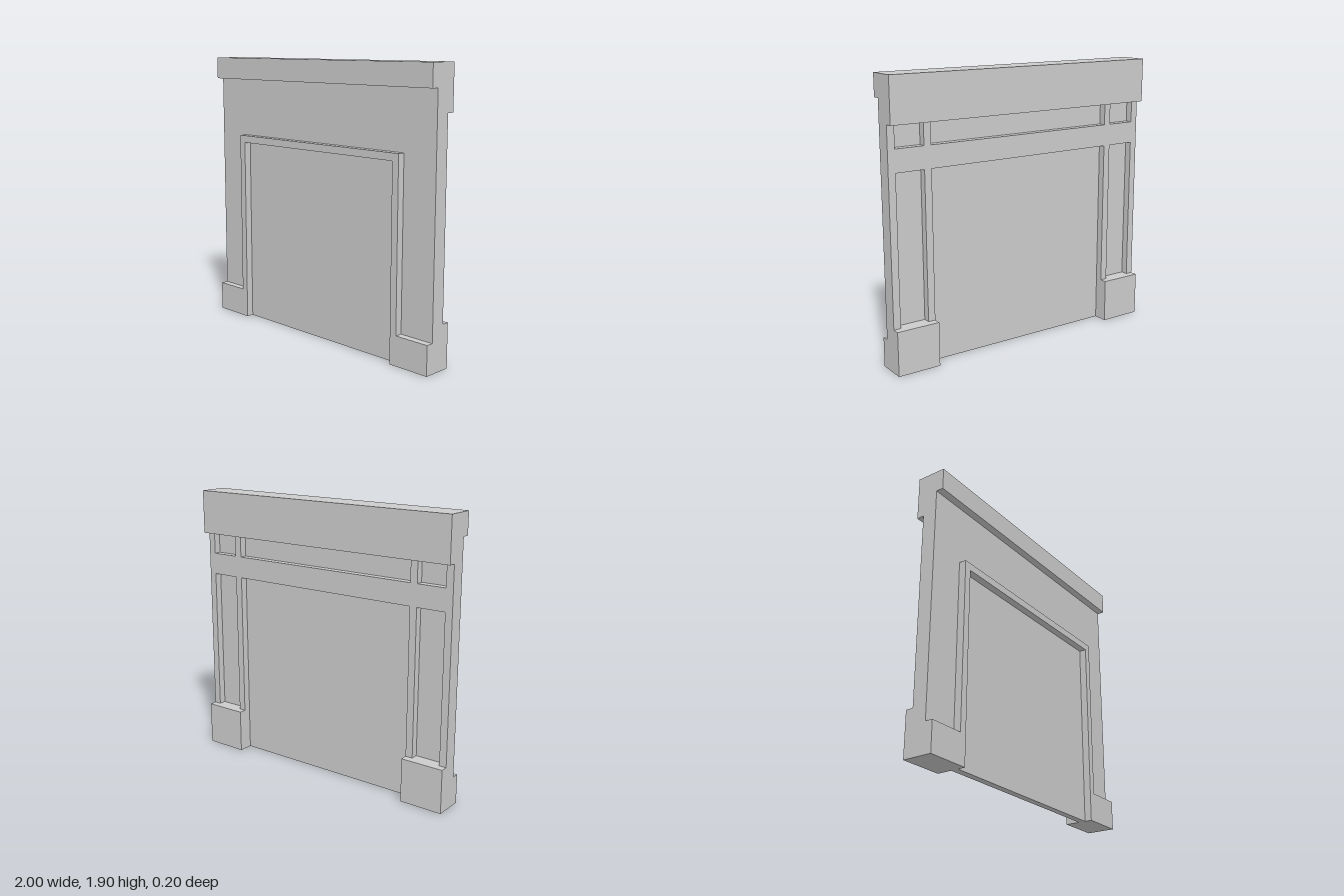
import * as THREE from 'three';

const material = new THREE.MeshStandardMaterial({ color: 0xcccccc, flatShading: true });

function add(parent, name, geometry) {
  const mesh = new THREE.Mesh(geometry, material);
  mesh.name = name;
  parent.add(mesh);
}

function polygon(points) {
  return new THREE.Shape(points.map(([a, b]) => new THREE.Vector2(a, b)));
}

// Outline in (x, y), extruded from z0 to z1
function slab(points, z0, z1) {
  const g = new THREE.ExtrudeGeometry(polygon(points), { depth: z1 - z0, bevelEnabled: false });
  return g.translate(0, 0, z0);
}

// Profile in (z, y), extruded from x0 to x1
function moulding(points, x0, x1) {
  const g = new THREE.ExtrudeGeometry(polygon(points), { depth: x1 - x0, bevelEnabled: false });
  return g.rotateY(-Math.PI / 2).translate(x1, 0, 0);
}

// Box given by its limits
function block(x0, x1, y0, y1, z0, z1) {
  return new THREE.BoxGeometry(x1 - x0, y1 - y0, z1 - z0)
    .translate((x0 + x1) / 2, (y0 + y1) / 2, (z0 + z1) / 2);
}

export function createModel() {
  const model = new THREE.Group();
  model.name = 'chimneypiece';

  // Main panel, notched at the lower corners for the plinths
  add(model, 'panel', slab([
    [-0.7, 0], [0.7, 0], [0.7, 0.2], [1, 0.2], [1, 1.75], [-1, 1.75], [-1, 0.2], [-0.7, 0.2],
  ], 0, 0.05));

  // Top beam, deeper at the back
  add(model, 'topBeam', moulding([
    [0.1, 1.75], [0.1, 1.9], [-0.1, 1.9], [-0.1, 1.6], [0, 1.6], [0, 1.75],
  ], -1, 1));

  // Raised trim around the front opening
  add(model, 'openingTrim', slab([
    [-0.75, 0.2], [-0.7, 0.2], [-0.7, 1.3], [0.7, 1.3],
    [0.7, 0.2], [0.75, 0.2], [0.75, 1.35], [-0.75, 1.35],
  ], 0.05, 0.1));

  // Corner plinths, taller at the back
  const plinth = [[0.1, 0], [0.1, 0.2], [0, 0.2], [0, 0.3], [-0.1, 0.3], [-0.1, 0]];
  add(model, 'leftPlinth', moulding(plinth, 0.7, 1));
  add(model, 'rightPlinth', moulding(plinth, -1, -0.7));

  // Framework on the back: one rail with stiles below and above it
  const frame = new THREE.Group();
  frame.name = 'backFrame';
  model.add(frame);
  add(frame, 'rail', block(-1, 1, 1.3, 1.45, -0.05, 0));
  for (const x of [-1, -0.75, 0.7, 0.95]) {
    add(frame, 'lowerStile', block(x, x + 0.05, 0.3, 1.3, -0.05, 0));
    add(frame, 'upperStile', block(x, x + 0.05, 1.45, 1.6, -0.05, 0));
  }

  return model;
}
